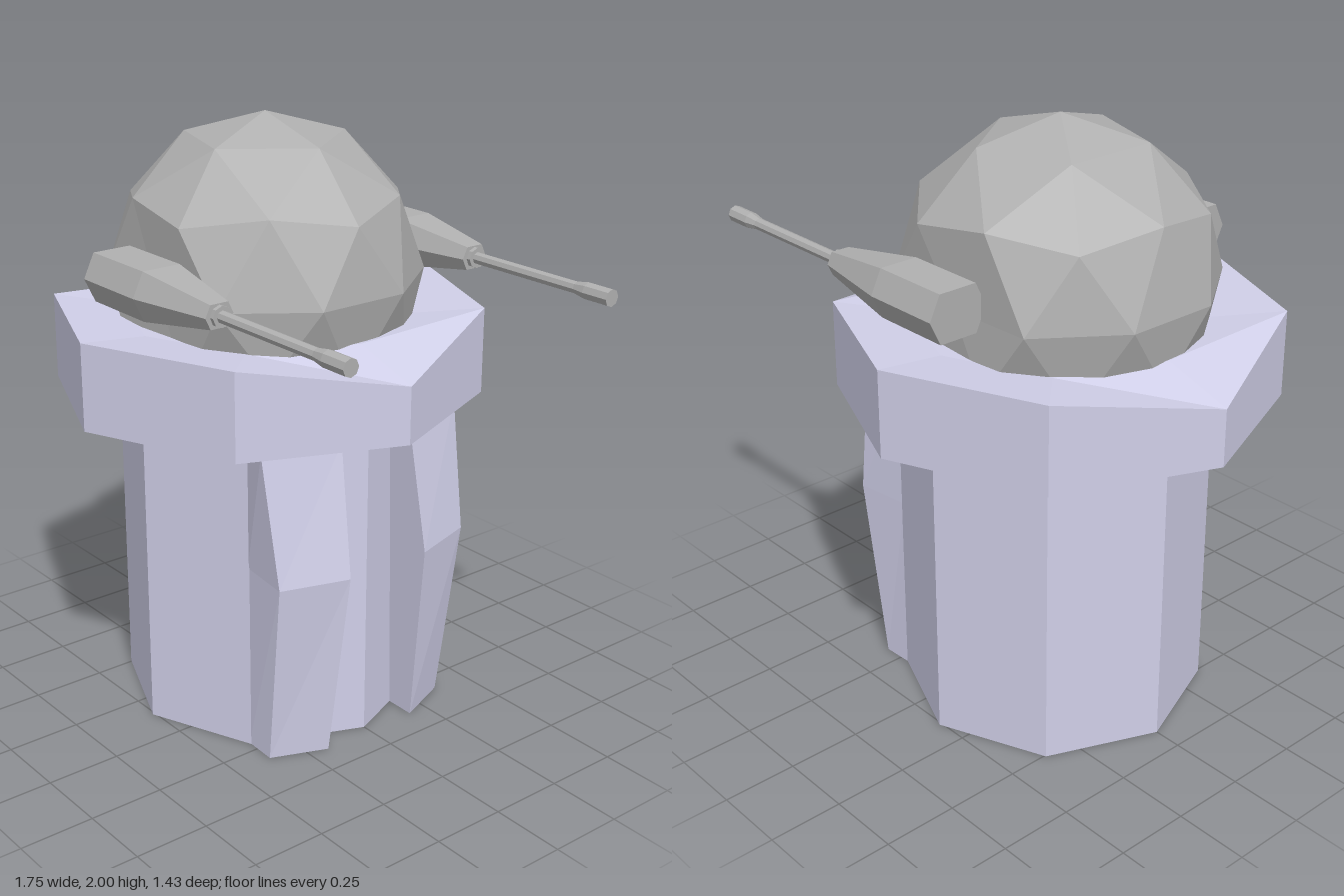
import * as THREE from 'three';

const stone = new THREE.MeshStandardMaterial({ color: 0xd0cfe8, flatShading: true });
const metal = new THREE.MeshStandardMaterial({ color: 0xb0b0b0, flatShading: true });

function add(parent, name, geometry, material, x = 0, y = 0, z = 0) {
  const mesh = new THREE.Mesh(geometry, material);
  mesh.name = name;
  mesh.position.set(x, y, z);
  parent.add(mesh);
  return mesh;
}

// Closed solid through equal cross-sections, counterclockwise seen from the last one
function loft(sections) {
  const n = sections[0].length;
  const index = [];
  for (let k = 0; k < sections.length - 1; k++) {
    for (let i = 0; i < n; i++) {
      const a = k * n + i, b = k * n + (i + 1) % n;
      index.push(a, b, b + n, a, b + n, a + n);
    }
  }
  const end = (sections.length - 1) * n;
  for (let i = 1; i < n - 1; i++) {
    index.push(0, i + 1, i, end, end + i, end + i + 1);
  }
  const g = new THREE.BufferGeometry();
  g.setAttribute('position', new THREE.Float32BufferAttribute(sections.flat(2), 3));
  g.setIndex(index);
  g.computeVertexNormals();
  return g;
}

// Bent fin beside the gap on the +x side of the tower
function finGeometry(side) {
  const levels = [[0, 0.32, 0.395, 0.365, 0.18], [0.64, 0.4, 0.47, 0.385, 0.157], [1.075, 0.33, 0.4, 0.4, 0.14]];
  return loft(levels.map(([y, xOuter, xInner, zOuter, zInner]) => {
    const loop = [[xOuter, y, side * zOuter], [xInner, y, side * zInner], [0.2, y, side * zInner], [0.205, y, side * 0.36]];
    return side > 0 ? loop : loop.reverse();
  }));
}

// Octagonal rim, its top notched down at the two corners on the x axis
function rimGeometry() {
  const profile = [[0, 1.065], [0.5, 1.068], [0.717, 1.08], [0.717, 1.37], [0.48, 1.345], [0, 1.345]];
  const g = new THREE.LatheGeometry(profile.map(([r, y]) => new THREE.Vector2(r, y)), 8);
  const p = g.attributes.position;
  for (let i = 0; i < p.count; i++) {
    if (p.getY(i) > 1.36 && Math.abs(p.getZ(i)) < 0.01) p.setY(i, 1.27);
  }
  g.computeVertexNormals();
  return g;
}

// Faceted dome with a pole on top, flattened where the guns sit
function domeGeometry() {
  const g = new THREE.IcosahedronGeometry(0.52, 1);
  g.rotateZ(-Math.atan(2 / (1 + Math.sqrt(5))));
  const p = g.attributes.position;
  for (let i = 0; i < p.count; i++) {
    const z = p.getZ(i);
    if (Math.abs(z) > 0.45) p.setZ(i, Math.sign(z) * 0.43);
  }
  g.computeVertexNormals();
  return g;
}

function createGun(side) {
  const gun = new THREE.Group();
  gun.name = side > 0 ? 'frontGun' : 'backGun';
  gun.position.set(0, 1.527, side * 0.512);

  // Six-sided housing tapering towards the barrel
  const hex = [[0.105, 0], [0.067, 0.079], [-0.067, 0.079], [-0.105, 0], [-0.067, -0.079], [0.067, -0.079]];
  const stations = [[-0.285, 1], [-0.01, 1], [0.285, 0.48]];
  add(gun, 'gunHousing', loft(stations.map(([x, s]) => hex.map(([w, h]) => [x, h * s, -w * s]))), metal);

  // Barrel with collar and flared muzzle
  const profile = [[0, 0.27], [0.034, 0.27], [0.034, 0.3], [0.02, 0.3], [0.02, 0.735], [0.028, 0.78], [0.028, 0.875], [0, 0.875]];
  const barrel = new THREE.LatheGeometry(profile.map(([r, y]) => new THREE.Vector2(r, y)), 8);
  barrel.rotateZ(-Math.PI / 2);
  add(gun, 'gunBarrel', barrel, metal);
  return gun;
}

export function createModel() {
  const model = new THREE.Group();
  model.name = 'gunTurret';

  add(model, 'towerBody', new THREE.CylinderGeometry(0.51, 0.51, 1.075, 8), stone, -0.145, 0.5375, 0);
  add(model, 'towerRim', rimGeometry(), stone, -0.16, 0, 0);
  add(model, 'dome', domeGeometry(), metal, -0.16, 1.48, 0);

  for (const side of [1, -1]) {
    add(model, side > 0 ? 'frontFin' : 'backFin', finGeometry(side), stone);
    model.add(createGun(side));
  }
  return model;
}
